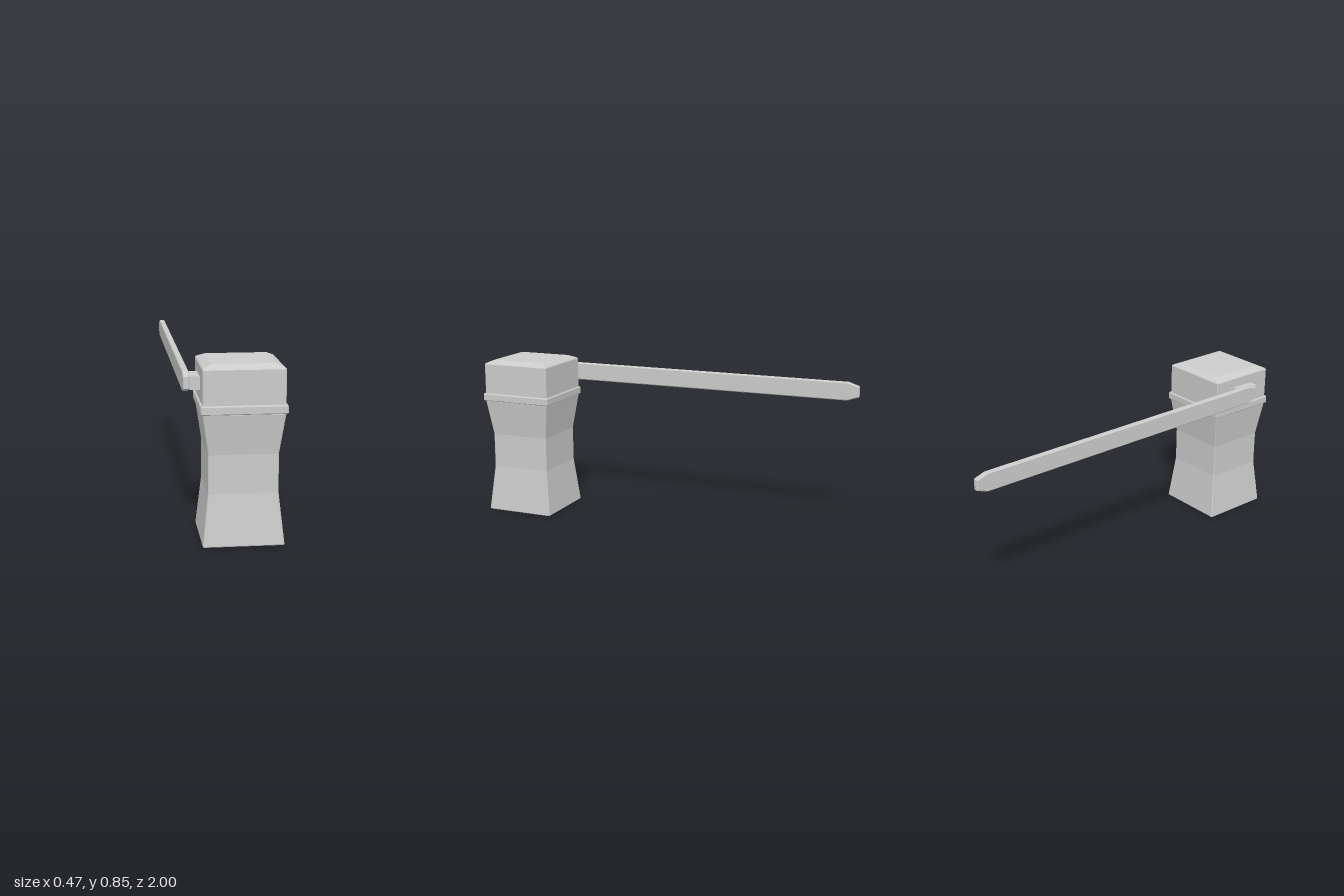
import * as THREE from 'three';

const material = new THREE.MeshStandardMaterial({ color: 0xcccccc, flatShading: true });

// Square column with slightly cut corners, lofted through [height, half width] sections
function squareLoft(sections, cut = 0.004) {
  const positions = [];
  const rings = sections.map(([y, h]) => {
    const i = h - cut;
    return [[h, i], [i, h], [-i, h], [-h, i], [-h, -i], [-i, -h], [i, -h], [h, -i]]
      .map(([x, z]) => [x, y, z]);
  });
  const triangle = (a, b, c) => positions.push(...a, ...b, ...c);
  const top = rings[rings.length - 1];
  for (let k = 0; k < 8; k++) {
    const n = (k + 1) % 8;
    for (let r = 0; r < rings.length - 1; r++) {
      const lower = rings[r], upper = rings[r + 1];
      triangle(lower[k], upper[k], upper[n]);
      triangle(lower[k], upper[n], lower[n]);
    }
    // End caps
    triangle([0, sections[0][0], 0], rings[0][k], rings[0][n]);
    triangle([0, top[0][1], 0], top[n], top[k]);
  }
  const geometry = new THREE.BufferGeometry();
  geometry.setAttribute('position', new THREE.Float32BufferAttribute(positions, 3));
  geometry.computeVertexNormals();
  return geometry;
}

// Bevelled slab from a (z, y) outline, spanning x0 to x1
function slab(outline, x0, x1, bevel) {
  const shape = new THREE.Shape(outline.map(([z, y]) => new THREE.Vector2(z, y)));
  const geometry = new THREE.ExtrudeGeometry(shape, {
    depth: x1 - x0 - 2 * bevel,
    bevelEnabled: true, bevelSegments: 1,
    bevelSize: bevel, bevelThickness: bevel, bevelOffset: -bevel,
  });
  geometry.rotateY(-Math.PI / 2);
  geometry.translate(x1 - bevel, 0, 0);
  return geometry;
}

export function createModel() {
  const model = new THREE.Group();
  model.name = 'leverPost';
  const add = (name, geometry, parent = model) => {
    const mesh = new THREE.Mesh(geometry, material);
    mesh.name = name;
    parent.add(mesh);
  };

  // Waisted post with collar and chamfered head
  const post = new THREE.Group();
  post.name = 'post';
  post.position.set(0.032, 0, 0.8);
  model.add(post);
  add('waistedBody', squareLoft([
    [0, 0.188], [0.004, 0.191], [0.25, 0.164], [0.435, 0.164], [0.625, 0.191], [0.63, 0.189],
  ]), post);
  add('collar', squareLoft([
    [0.628, 0.197], [0.632, 0.2], [0.664, 0.2], [0.67, 0.196],
  ]), post);
  add('head', squareLoft([
    [0.665, 0.191], [0.832, 0.191], [0.838, 0.186], [0.849, 0.162], [0.854, 0.15],
  ]), post);

  // Pivot block joining head and lever
  add('pivotBlock', slab([[0.73, 0.72], [0.865, 0.72], [0.865, 0.783], [0.73, 0.783]],
    -0.208, -0.155, 0.003));

  // Long lever with tapered ends
  add('lever', slab([
    [-1, 0.721], [-0.94, 0.7], [0.785, 0.7], [0.845, 0.721],
    [0.845, 0.777], [0.785, 0.797], [-0.94, 0.797], [-1, 0.777],
  ], -0.235, -0.204, 0.005));

  return model;
}
